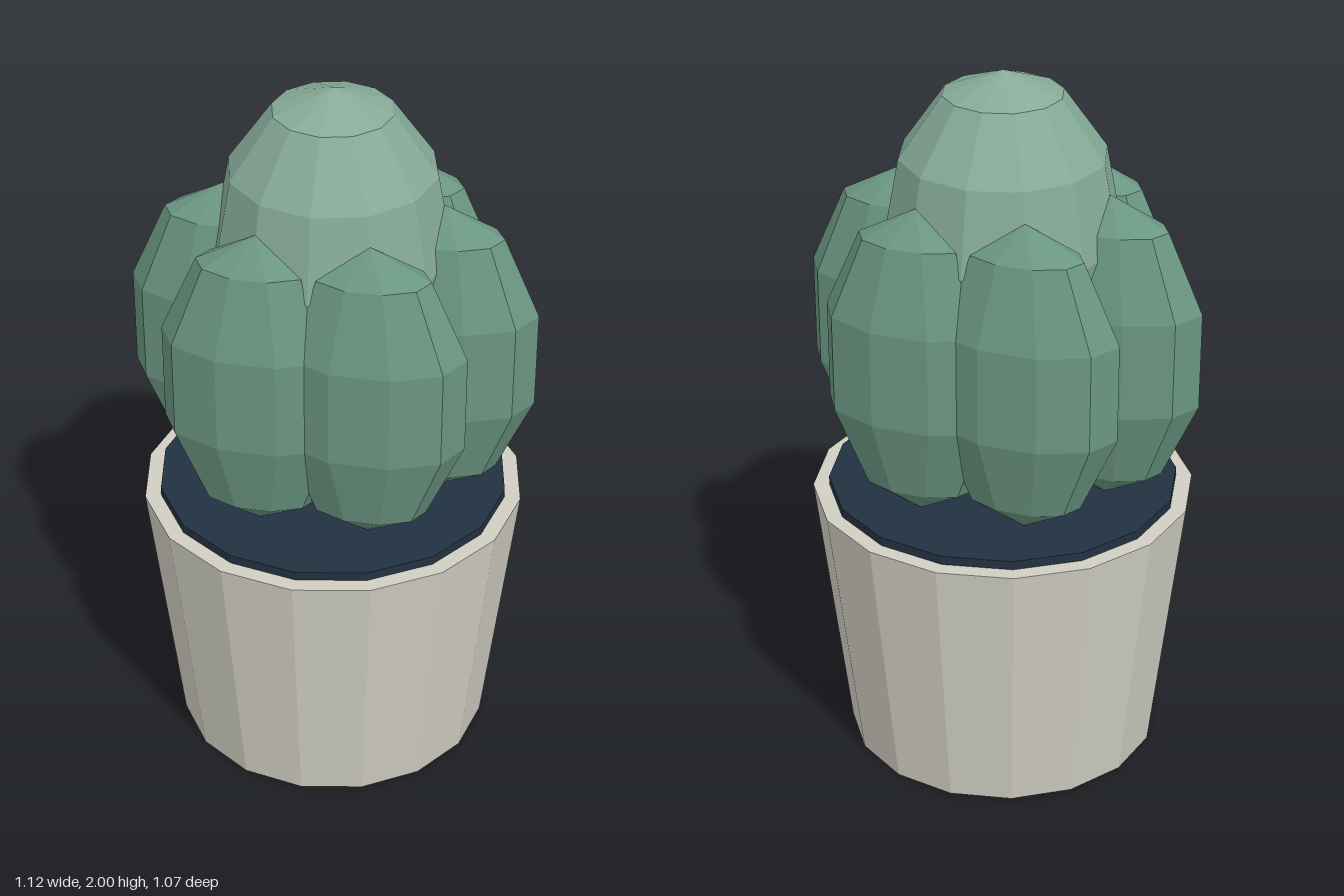
import * as THREE from 'three';

const material = (color) => new THREE.MeshStandardMaterial({ color, flatShading: true });

function addPart(parent, name, geometry, mat, x, y, z) {
  const mesh = new THREE.Mesh(geometry, mat);
  mesh.name = name;
  mesh.position.set(x, y, z);
  parent.add(mesh);
  return mesh;
}

export function createModel() {
  const model = new THREE.Group();
  model.name = 'pottedCactus';

  // Tapered pot with a thin disc of soil proud of its rim
  addPart(model, 'pot', new THREE.CylinderGeometry(0.535, 0.445, 0.78, 16), material(0xd0cec2), 0, 0.39, 0);
  addPart(model, 'soil', new THREE.CylinderGeometry(0.49, 0.49, 0.03, 16), material(0x223140), 0, 0.79, 0);

  // Pale central body rising above the lobes
  const body = new THREE.SphereGeometry(1, 12, 6).scale(0.325, 0.46, 0.325);
  addPart(model, 'centralBody', body, material(0x86ab98), 0, 1.54, 0);

  // Six flattened lobes: one on each side, two at the front and two at the back
  const lobe = new THREE.SphereGeometry(1, 10, 5).scale(0.273, 0.445, 0.155);
  const lobeMaterial = material(0x6a9682);
  for (const side of [1, -1]) {
    const sideName = side > 0 ? 'Left' : 'Right';
    for (const row of [1, 0, -1]) {
      const rowName = ['back', 'middle', 'front'][row + 1];
      const mesh = addPart(model, `${rowName}${sideName}Lobe`, lobe, lobeMaterial,
        side * (row === 0 ? 0.3 : 0.15), 1.245, row * 0.256);
      // Point the outer corner of each lobe outward
      mesh.rotation.y = side > 0 ? 0 : Math.PI;
      mesh.rotation.y += Math.PI;
    }
  }

  return model;
}
